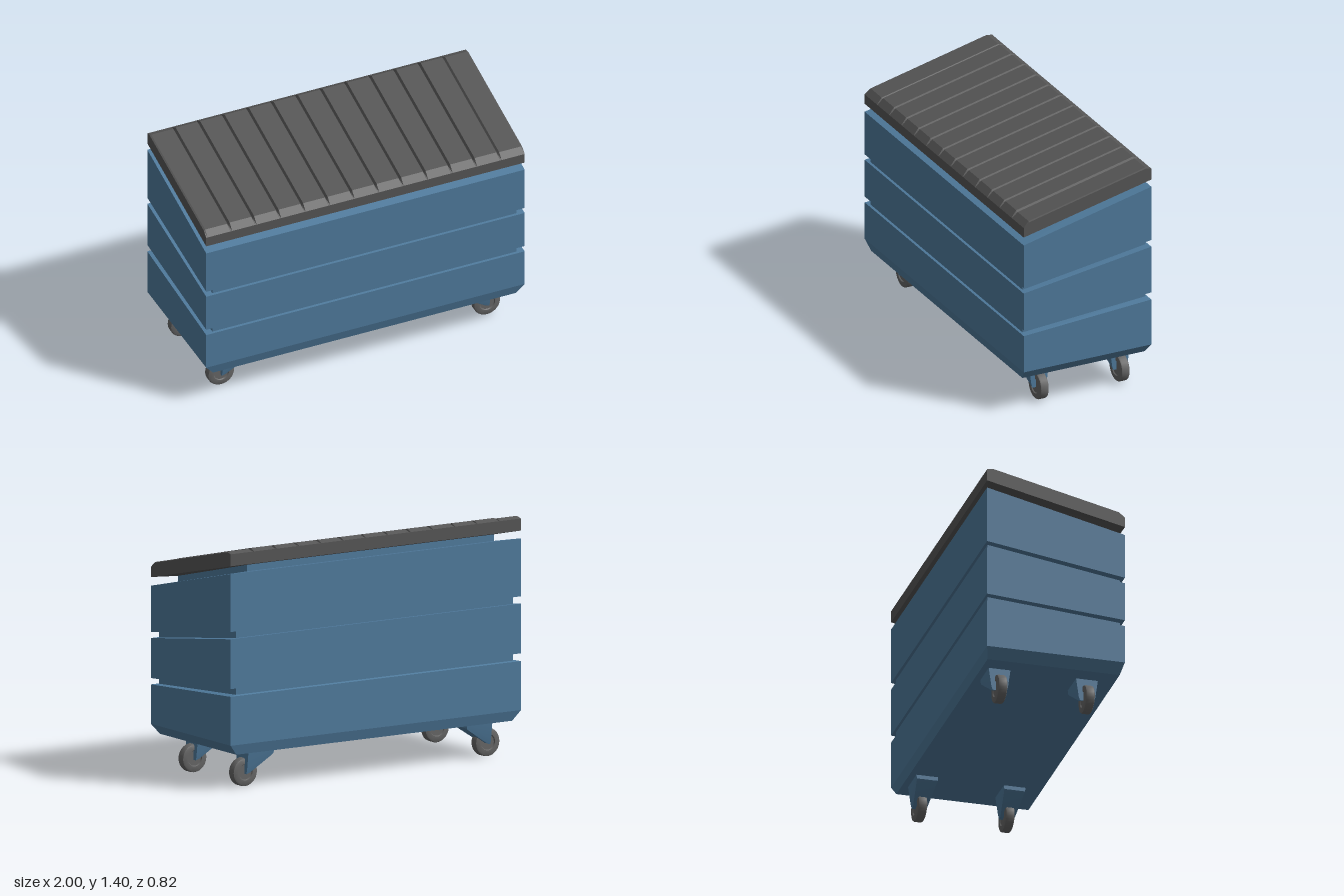
import * as THREE from 'three';
import { toCreasedNormals } from 'three/addons/utils/BufferGeometryUtils.js';

const blue = new THREE.MeshStandardMaterial({ color: 0x4f7a9c });
const lidGrey = new THREE.MeshStandardMaterial({ color: 0x555555 });
const wheelGrey = new THREE.MeshStandardMaterial({ color: 0x666666 });

// Skin a row of matching convex cross-sections and close both ends, with hard edges
function loft(rings) {
  const pos = [];
  const tri = (a, b, c) => pos.push(...a, ...b, ...c);
  const n = rings[0].length;
  for (let i = 0; i < rings.length - 1; i++) {
    for (let j = 0; j < n; j++) {
      const k = (j + 1) % n;
      const a = rings[i][j], b = rings[i][k], c = rings[i + 1][k], d = rings[i + 1][j];
      tri(a, b, c);
      tri(a, c, d);
    }
  }
  const first = rings[0], last = rings[rings.length - 1];
  for (let j = 1; j < n - 1; j++) {
    tri(first[0], first[j + 1], first[j]);
    tri(last[0], last[j], last[j + 1]);
  }
  const g = new THREE.BufferGeometry();
  g.setAttribute('position', new THREE.Float32BufferAttribute(pos, 3));
  g.computeVertexNormals();
  return g;
}

// Rectangle section that slopes from its front height to its back height
const slopedRing = ([hx, hz, front, back]) => [
  [hx, front, hz], [hx, back, -hz], [-hx, back, -hz], [-hx, front, hz],
];

function add(parent, name, geometry, material) {
  const mesh = new THREE.Mesh(geometry, material);
  mesh.name = name;
  parent.add(mesh);
  return mesh;
}

// Lid: ribbed slats separated by V grooves, running front to back
function lidGeometry() {
  const section = (x, d) => [
    [x, 1.125, 0.41], [x, 1.315, -0.41], [x, 1.385, -0.41],
    [x, 1.4 - d, -0.375], [x, 1.222 - d, 0.375], [x, 1.185, 0.41],
  ];
  const slats = 13, pitch = 2 / slats, bevel = 0.009, depth = 0.016;
  const rings = [];
  for (let i = 0; i < slats; i++) {
    const x = -1 + i * pitch;
    const end = i === 0 || i === slats - 1 ? 0.004 : 0;
    rings.push(section(x, i === 0 ? 0.008 : depth));
    rings.push(section(x + bevel, end), section(x + pitch - bevel, end));
  }
  rings.push(section(1, 0.008));
  return loft(rings);
}

// Caster bracket: wedge that narrows downward
function bracketGeometry() {
  const shape = new THREE.Shape([
    [0.005, 0.215], [-0.17, 0.215], [-0.17, 0.187], [-0.16, 0.177],
    [-0.02, 0.083], [0.005, 0.075], [0.005, 0.1],
  ].map(([x, y]) => new THREE.Vector2(x, y)));
  const g = new THREE.ExtrudeGeometry(shape, { depth: 2, bevelEnabled: false });
  g.translate(0, 0, -1);
  const p = g.attributes.position;
  for (let i = 0; i < p.count; i++) {
    const y = p.getY(i);
    const half = y < 0.09 ? 0.042 : 0.048 + (y - 0.09) * 0.14;
    p.setZ(i, p.getZ(i) * half);
  }
  return toCreasedNormals(g, 0.5);
}

// Wheel with rounded tread and recessed hub on both faces
function wheelGeometry() {
  const half = [[0.083, 0.018], [0.08, 0.024], [0.073, 0.0275], [0.048, 0.0275], [0.044, 0.021], [0, 0.021]];
  const profile = [...half.map(([r, y]) => [r, -y]).reverse(), ...half];
  const g = new THREE.LatheGeometry(profile.map(([r, y]) => new THREE.Vector2(r, y)), 28);
  g.rotateX(Math.PI / 2);
  return toCreasedNormals(g, 0.6);
}

export function createModel() {
  const model = new THREE.Group();
  model.name = 'wheeledBin';

  // Tub: chamfered base, three bands split by grooves, then the neck
  add(model, 'tub', loft([
    [0.95, 0.393, 0.21, 0.21],
    [1, 0.41, 0.27, 0.27],
    [1, 0.41, 0.5, 0.555],
    [0.955, 0.395, 0.502, 0.56],
    [0.955, 0.395, 0.537, 0.6],
    [1, 0.41, 0.537, 0.6],
    [1, 0.41, 0.77, 0.89],
    [0.955, 0.395, 0.772, 0.89],
    [0.955, 0.395, 0.805, 0.93],
    [1, 0.41, 0.805, 0.932],
    [1, 0.41, 1.075, 1.27],
    [0.85, 0.355, 1.088, 1.262],
    [0.85, 0.355, 1.125, 1.3],
  ].map(slopedRing)), blue);

  add(model, 'lid', lidGeometry(), lidGrey);
  add(model, 'lidUnderside', loft([
    [0.85, 0.355, 1.125, 1.3],
    [1, 0.41, 1.125, 1.315],
  ].map(slopedRing)), lidGrey);

  // Four casters, turned so the brackets point inward
  const bracket = bracketGeometry(), wheel = wheelGeometry();
  for (const side of [1, -1]) {
    for (const z of [0.23, -0.29]) {
      const caster = new THREE.Group();
      caster.name = (z > 0 ? 'front' : 'back') + (side > 0 ? 'Left' : 'Right') + 'Caster';
      caster.position.set(side * 0.835, 0, z);
      caster.rotation.y = side > 0 ? 0 : Math.PI;
      add(caster, 'bracket', bracket, blue);
      add(caster, 'wheel', wheel, wheelGrey).position.y = 0.085;
      model.add(caster);
    }
  }
  return model;
}
